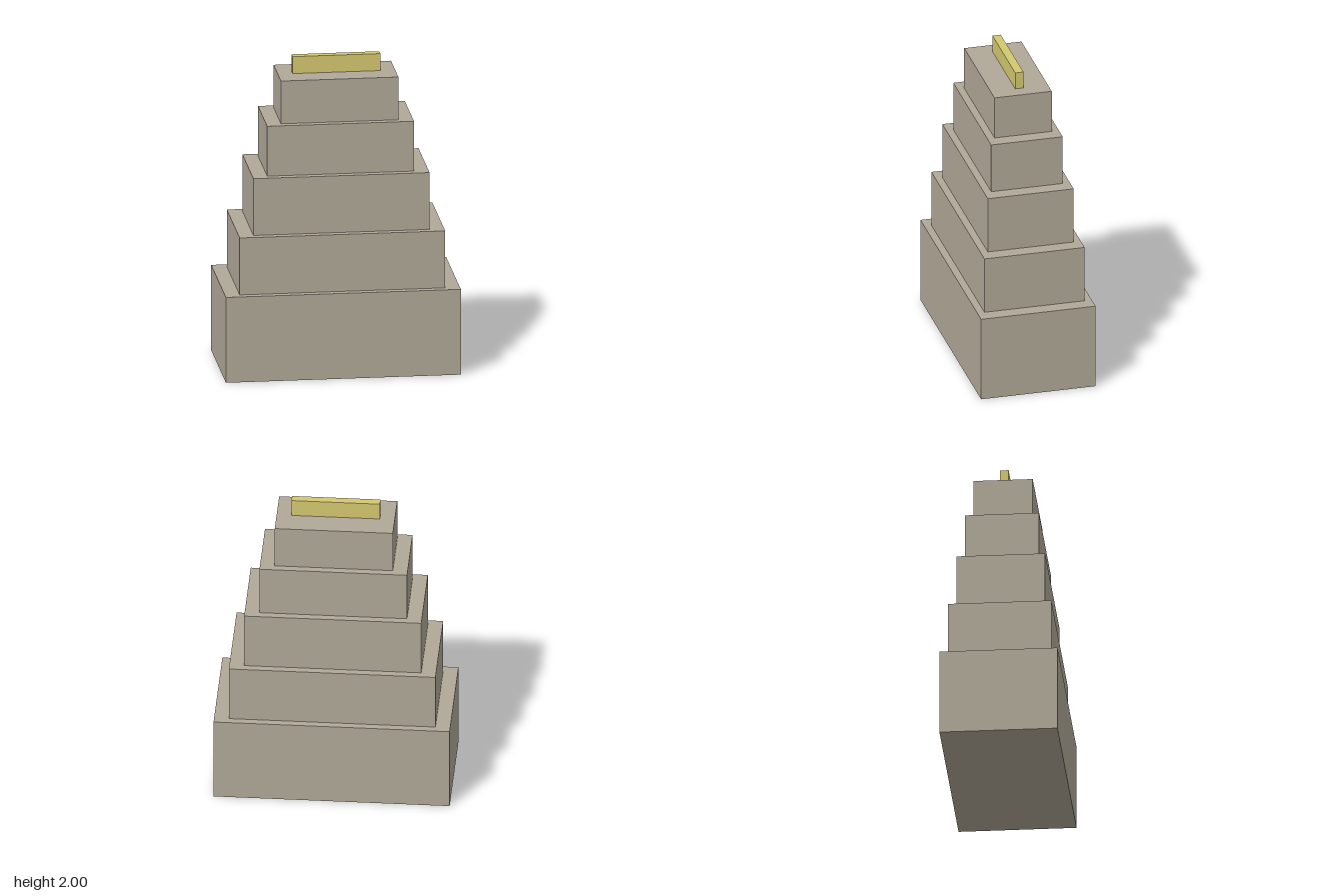
import * as THREE from 'three';

export function createModel() {
  const model = new THREE.Group();
  model.name = 'steppedTower';
  const stone = new THREE.MeshStandardMaterial({ color: 0xb0a898 });
  const gold = new THREE.MeshStandardMaterial({ color: 0xd4c870 });

  // A box spanning bottom..top, centred on the vertical axis
  function block(name, width, depth, bottom, top, material) {
    const mesh = new THREE.Mesh(new THREE.BoxGeometry(width, top - bottom, depth), material);
    mesh.position.y = (bottom + top) / 2;
    mesh.name = name;
    model.add(mesh);
  }

  // Five tiers, each twice as wide as deep, narrowing by a constant step
  const levels = [0, 0.553, 0.922, 1.29, 1.613, 1.89];
  for (let i = 0; i < 5; i++) {
    const width = 1.475 - i * 0.1843;
    block(`tier${i + 1}`, width, width / 2, levels[i], levels[i + 1], stone);
  }

  // Thin ridge along the top
  block('roofRidge', 0.553, 0.053, 1.89, 2, gold);

  return model;
}
